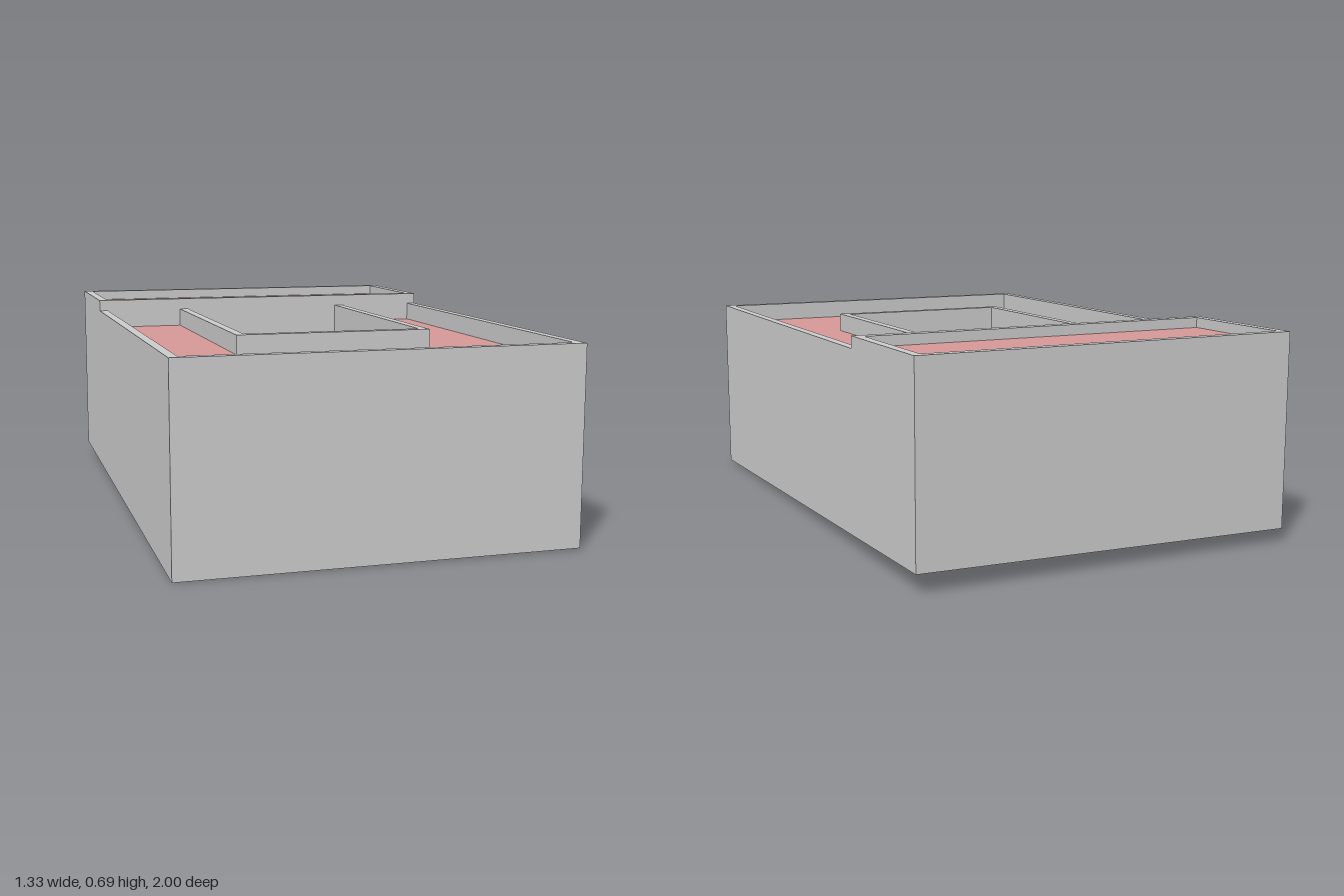
import * as THREE from 'three';

const grey = new THREE.MeshStandardMaterial({ color: 0xcccccc, flatShading: true });
const greySheet = new THREE.MeshStandardMaterial({ color: 0xcccccc, flatShading: true, side: THREE.DoubleSide });
const roofRed = new THREE.MeshStandardMaterial({ color: 0xd59997, flatShading: true });

const W = 0.652, D = 0.9925;          // half width and half depth
const T = 0.031;                      // wall thickness
const STEP = -0.4925;                 // z where the taller rear block begins
const FOOT = 0.132, CEILING = 0.515;  // underside of thick wall and of roof slab
const LOW = 0.655, HIGH = 0.695;      // parapet tops
const ROOF = 0.59, REAR_ROOF = 0.66;  // roof surfaces

const rect = (x, z0, z1) => [[-x, z0], [x, z0], [x, z1], [-x, z1]];

// U-shaped plan, open towards the rear block
const uPlan = (xo, zo, xi, zi) => [
  [-xo, STEP], [-xi, STEP], [-xi, zi], [xi, zi],
  [xi, STEP], [xo, STEP], [xo, zo], [-xo, zo],
];

const toPoints = (plan) => plan.map(([x, z]) => new THREE.Vector2(x, z));

// Upright prism over an (x, z) plan, from y0 to y1
function prism(name, plan, y0, y1, material = grey, hole = null) {
  const shape = new THREE.Shape(toPoints(plan));
  if (hole) shape.holes.push(new THREE.Path(toPoints(hole)));
  const geo = new THREE.ExtrudeGeometry(shape, { depth: y1 - y0, bevelEnabled: false });
  geo.rotateX(Math.PI / 2).translate(0, y1, 0);
  const mesh = new THREE.Mesh(geo, material);
  mesh.name = name;
  return mesh;
}

// Thin wall skirt whose lower edge follows sloping ground
function skirt() {
  const corners = [[-W, D, 0], [W, D, 0.004], [W, -D, 0.065], [-W, -D, 0.045]];
  const positions = [], index = [];
  corners.forEach(([x, z, y], i) => {
    positions.push(x, y, z, x, FOOT, z);
    const a = i * 2, b = ((i + 1) % 4) * 2;
    index.push(a, b, b + 1, a, b + 1, a + 1);
  });
  const geo = new THREE.BufferGeometry();
  geo.setAttribute('position', new THREE.Float32BufferAttribute(positions, 3));
  geo.setIndex(index);
  geo.computeVertexNormals();
  const mesh = new THREE.Mesh(geo, greySheet);
  mesh.name = 'wallSkirt';
  return mesh;
}

export function createModel() {
  const building = new THREE.Group();
  building.name = 'courtyardBuilding';
  const skin = 0.002;
  const inX = W - T, inZ = D - T;
  const yardX = 0.305, yardZ = 0.452;

  // Outer walls
  building.add(skirt());
  building.add(prism('outerWalls', rect(W, -D, D), FOOT, LOW, grey, rect(inX, -inZ, inZ)));

  // Low roof around the courtyard
  const lowPlan = uPlan(inX, inZ, yardX + T, yardZ + T);
  building.add(prism('lowRoofSlab', lowPlan, CEILING, ROOF - skin));
  building.add(prism('lowRoofSurface', lowPlan, ROOF - skin, ROOF, roofRed));
  building.add(prism('courtyardParapet', uPlan(yardX + T, yardZ + T, yardX, yardZ), 0.53, LOW));

  // Taller rear block
  const rearHole = rect(inX, -inZ, STEP - 0.035);
  building.add(prism('rearRoofSlab', rect(inX, -inZ, STEP), CEILING, LOW));
  building.add(prism('rearParapet', rect(W, -D, STEP), LOW, HIGH, grey, rearHole));
  building.add(prism('rearRoofSurface', rearHole, LOW, REAR_ROOF, roofRed));

  // The plan is turned very slightly off the axes
  building.rotation.y = -0.0108;
  const model = new THREE.Group();
  model.name = 'model';
  model.add(building);
  return model;
}
